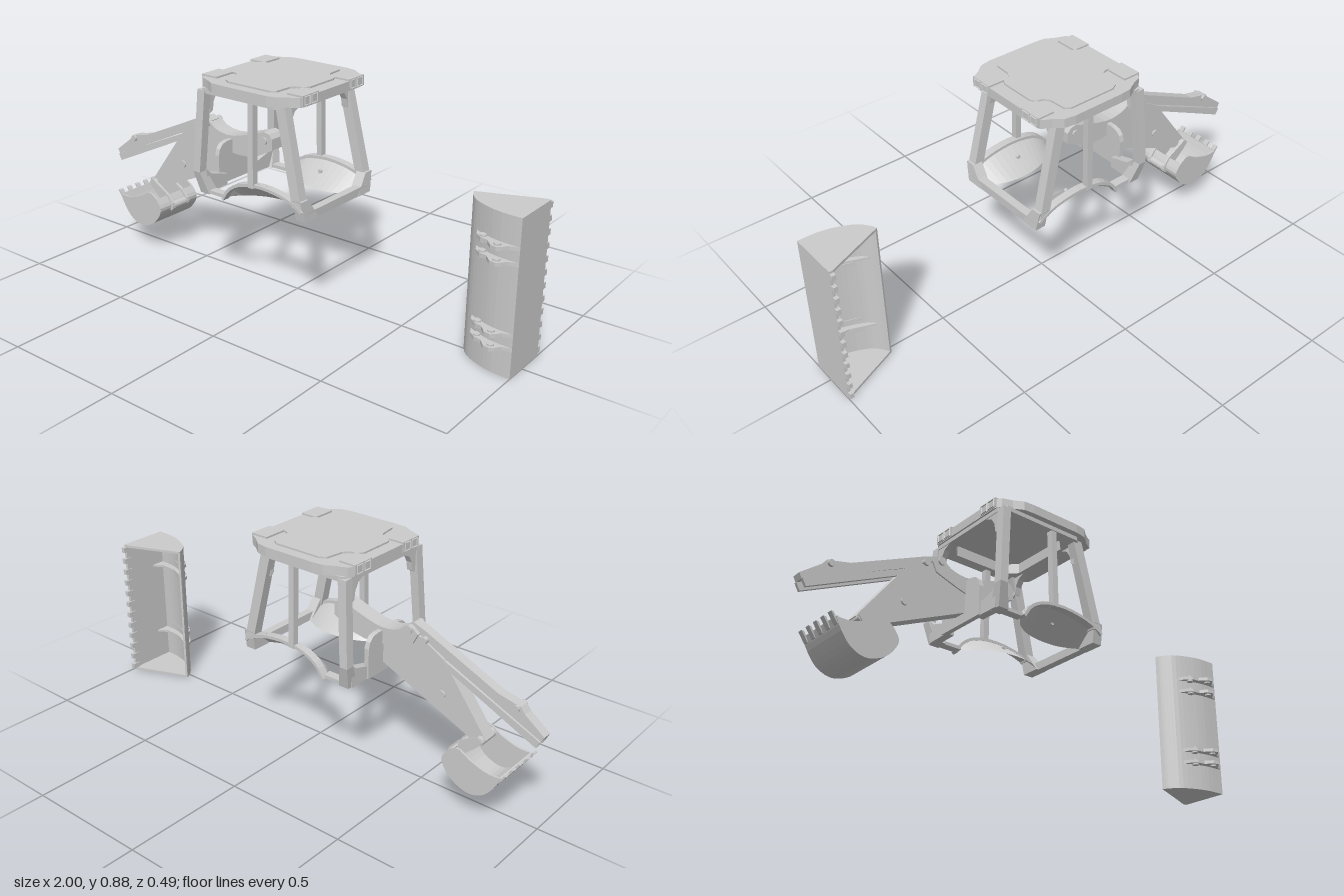
import * as THREE from 'three';

const mat = new THREE.MeshStandardMaterial({ color: 0xcccccc, flatShading: true, side: THREE.DoubleSide });
const V2 = (p) => new THREE.Vector2(p[0], p[1]);
const curve = (pts, n = 16) => new THREE.SplineCurve(pts.map(V2)).getPoints(n).map((p) => [p.x, p.y]);

export function createModel() {
  const model = new THREE.Group();
  let group = model;
  const part = (name) => {
    group = new THREE.Group();
    group.name = name;
    model.add(group);
  };
  const add = (name, geo) => {
    const m = new THREE.Mesh(geo, mat);
    m.name = name;
    group.add(m);
    return m;
  };
  const extrude = (pts, depth, hole) => {
    const s = new THREE.Shape(pts.map(V2));
    if (hole) s.holes.push(new THREE.Path(hole.map(V2)));
    return new THREE.ExtrudeGeometry(s, { depth, bevelEnabled: false });
  };
  // (x, y) outline extruded across z
  const sidePlate = (name, pts, z0, z1) => add(name, extrude(pts, z1 - z0).translate(0, 0, z0));
  // (x, z) outline extruded up y
  const flatPlate = (name, pts, y0, y1, hole) => {
    const flip = (a) => a && a.map(([x, z]) => [x, -z]);
    return add(name, extrude(flip(pts), y1 - y0, flip(hole)).rotateX(-Math.PI / 2).translate(0, y0, 0));
  };
  // (z, y) outline extruded along x
  const crossPlate = (name, pts, x0, x1) =>
    add(name, extrude(pts.map(([z, y]) => [-z, y]), x1 - x0).rotateY(Math.PI / 2).translate(x0, 0, 0));
  const box = (name, x0, x1, y0, y1, z0, z1) =>
    add(name, new THREE.BoxGeometry(x1 - x0, y1 - y0, z1 - z0).translate((x0 + x1) / 2, (y0 + y1) / 2, (z0 + z1) / 2));
  // upright beam, sheared between two end centres
  const post = (name, a, b, wa, wb) => {
    const g = new THREE.BoxGeometry(1, 1, 1);
    const p = g.attributes.position;
    const mix = THREE.MathUtils.lerp;
    for (let i = 0; i < p.count; i++) {
      const t = p.getY(i) + 0.5;
      p.setXYZ(i, mix(a[0], b[0], t) + p.getX(i) * mix(wa[0], wb[0], t), mix(a[1], b[1], t),
        mix(a[2], b[2], t) + p.getZ(i) * mix(wa[1], wb[1], t));
    }
    g.computeVertexNormals();
    return add(name, g);
  };
  // closed band of thickness t along an open line
  const band = (line, t) => {
    const off = line.map((p, i) => {
      const a = line[Math.max(i - 1, 0)], b = line[Math.min(i + 1, line.length - 1)];
      const dx = b[0] - a[0], dy = b[1] - a[1], l = Math.hypot(dx, dy);
      return [p[0] - (dy / l) * t, p[1] + (dx / l) * t];
    });
    return [...line, ...off.reverse()];
  };
  const pinZ = (name, x, y, r, half) =>
    add(name, new THREE.CylinderGeometry(r, r, half * 2, 16).rotateX(Math.PI / 2).translate(x, y, 0));

  // Wide front bucket standing on its end
  part('frontBucket');
  const back = curve([[0.755, -0.025], [0.768, 0], [0.8, 0.037], [0.86, 0.067], [0.92, 0.084], [0.99, 0.088]]);
  flatPlate('bucketBack', band(back, -0.009), 0, 0.6);
  box('bucketFloor', 0.988, 1, 0, 0.6, -0.118, 0.088);
  const cheek = [...back, [1, 0.088], [1, -0.118], [0.985, -0.118]];
  for (const y of [0, 0.59]) flatPlate('bucketCheek', cheek, y, y + 0.01);
  for (const y of [0.14, 0.46])
    flatPlate('innerGusset', [...back.slice(3), [0.99, 0.02], [0.95, 0.05], [0.88, 0.045]], y - 0.004, y + 0.004);
  for (let i = 0; i < 12; i++) {
    const y = 0.02 + i * 0.0509;
    box('bucketTooth', 0.984, 1, y - 0.011, y + 0.011, -0.134, -0.1);
  }
  for (const y of [0.113, 0.166, 0.432, 0.489]) {
    flatPlate('bucketEar', [[0.81, 0.035], [0.83, 0.075], [0.855, 0.094], [0.885, 0.1], [0.91, 0.128], [0.935, 0.134],
      [0.95, 0.12], [0.965, 0.1], [1, 0.088], [0.9, 0.07]], y - 0.007, y + 0.007);
    for (const [x, z] of [[0.856, 0.076], [0.928, 0.11]])
      add('earBoss', new THREE.CylinderGeometry(0.013, 0.013, 0.026, 14).translate(x, y, z));
  }

  // Cab frame, both sides mirrored in z
  part('cabFrame');
  const arch = [[-0.2, 0.41], [-0.165, 0.46], [-0.1, 0.495], [0, 0.507], [0.1, 0.495], [0.17, 0.47], [0.195, 0.45]];
  const foot = [[-0.2, 0.2], [-0.15, 0.14], [-0.08, 0.1], [0, 0.085], [0.08, 0.09], [0.15, 0.12], [0.195, 0.15]];
  const archCurve = new THREE.SplineCurve(arch.map(V2));
  const footCurve = new THREE.SplineCurve(foot.map(V2));
  for (const s of [1, -1]) {
    post('frontPost', [0.17, 0.46, s * 0.2], [0.085, 0.83, s * 0.19], [0.042, 0.04], [0.044, 0.036]);
    post('middlePost', [-0.047, 0.49, s * 0.212], [-0.047, 0.83, s * 0.205], [0.025, 0.026], [0.025, 0.026]);
    post('rearPost', [-0.308, 0.5, s * 0.222], [-0.285, 0.83, s * 0.207], [0.034, 0.036], [0.036, 0.036]);
    post('rearFoot', [-0.29, 0.408, s * 0.19], [-0.308, 0.5, s * 0.222], [0.044, 0.05], [0.034, 0.036]);
    post('frontFoot', [0.178, 0.408, s * 0.165], [0.173, 0.49, s * 0.2], [0.044, 0.08], [0.042, 0.04]);
    box('sill', -0.3, -0.19, 0.408, 0.422, s * 0.19 - 0.018, s * 0.19 + 0.018);
    sidePlate('archRail', band(curve(arch), -0.012), s * 0.205 - 0.016, s * 0.205 + 0.016);
    // wheel housing leaning inward to the floor
    const g = new THREE.PlaneGeometry(1, 1, 20, 5);
    const p = g.attributes.position;
    for (let i = 0; i < p.count; i++) {
      const u = p.getX(i) + 0.5, t = p.getY(i) + 0.5;
      const a = archCurve.getPoint(u), f = footCurve.getPoint(u);
      p.setXYZ(i, f.x + (a.x - f.x) * t, 0.41 + (a.y - 0.41) * t, s * (f.y + (0.205 - f.y) * t));
    }
    g.computeVertexNormals();
    add('wheelHousing', g);
    add('housingBolt', new THREE.CylinderGeometry(0.008, 0.008, 0.012, 12).rotateX(Math.PI / 2).translate(0, 0.462, s * 0.145));
    // rounded upper corners of the front and rear openings
    const corner = [[0.19, 0.73], [0.173, 0.74], [0.167, 0.775], [0.15, 0.803], [0.115, 0.82], [0.19, 0.825]].map(([z, y]) => [s * z, y]);
    crossPlate('frontCorner', corner, 0.08, 0.108);
    crossPlate('rearCorner', corner, -0.3, -0.275);
    // rear lower frame sweeping from the post to the back panel
    crossPlate('rearSweep', [[0.21, 0.51], [0.18, 0.48], [0.09, 0.455], [0.09, 0.41], [0.2, 0.408]].map(([z, y]) => [s * z, y]), -0.318, -0.285);
  }
  box('frontSill', 0.165, 0.198, 0.408, 0.442, -0.19, 0.19);
  crossPlate('backPanel', [[-0.115, 0.41], [0.115, 0.41], [0.115, 0.53], [0.108, 0.556], [0.09, 0.574], [0.065, 0.58],
    [-0.065, 0.58], [-0.09, 0.574], [-0.108, 0.556], [-0.115, 0.53]], -0.325, -0.305);

  // Roof
  part('roof');
  const mirrorZ = (half) => [...half, ...half.map(([x, z]) => [x, -z]).reverse()];
  const rim = mirrorZ([[-0.31, 0.18], [-0.295, 0.205], [-0.255, 0.22], [-0.215, 0.242], [-0.17, 0.246], [0.05, 0.246],
    [0.095, 0.238], [0.13, 0.21], [0.165, 0.19], [0.17, 0.16]]);
  const opening = mirrorZ([[-0.26, 0.13], [-0.22, 0.175], [0.02, 0.175], [0.065, 0.13]]);
  flatPlate('roofRim', rim, 0.835, 0.868, opening);
  flatPlate('roofSkin', rim, 0.862, 0.872);
  flatPlate('roofFrame', mirrorZ([[-0.303, 0.19], [-0.28, 0.222], [0.07, 0.222], [0.108, 0.19]]), 0.818, 0.838, opening);
  const panel = mirrorZ([[-0.262, 0.07], [-0.25, 0.09], [-0.215, 0.1], [-0.2, 0.12], [-0.19, 0.19], [-0.165, 0.205],
    [0.035, 0.205], [0.056, 0.19], [0.06, 0.12], [0.075, 0.1], [0.105, 0.09], [0.115, 0.07]]);
  flatPlate('raisedPanel', panel, 0.87, 0.879);
  for (const s of [1, -1]) {
    for (const [x0, x1, face] of [[0.1, 0.172, 0.172], [-0.313, -0.24, -0.313]]) {
      box('lampHousing', x0, x1, 0.838, 0.879, s * 0.139 - 0.047, s * 0.139 + 0.047);
      for (const z of [0.118, 0.16]) {
        const frame = add('lampFrame', new THREE.TorusGeometry(0.022, 0.003, 4, 4)
          .rotateZ(Math.PI / 4).rotateY(Math.PI / 2));
        frame.position.set(face, 0.858, s * z);
      }
    }
  }

  // Digger arm
  part('diggerArm');
  const boom = [...curve([[-0.48, 0.61], [-0.44, 0.635], [-0.39, 0.603], [-0.31, 0.593], [-0.2, 0.622], [-0.14, 0.643]]),
    [-0.115, 0.638], [-0.1, 0.62], [-0.1, 0.575], ...curve([[-0.18, 0.533], [-0.26, 0.52], [-0.34, 0.53], [-0.46, 0.57]], 8)];
  sidePlate('boom', boom, -0.036, 0.034);
  sidePlate('dipper', [[-0.782, 0.29], [-0.765, 0.27], [-0.715, 0.277], [-0.31, 0.455], [-0.31, 0.535], [-0.4, 0.56],
    [-0.47, 0.61], [-0.5, 0.595], [-0.59, 0.545]], -0.028, 0.028);
  sidePlate('topBeam', [[-1, 0.385], [-0.99, 0.365], [-0.46, 0.604], [-0.43, 0.61], [-0.425, 0.63], [-0.45, 0.645],
    [-0.5, 0.627], [-0.81, 0.488], [-0.88, 0.472], [-0.902, 0.468], [-0.92, 0.445]], -0.02, 0.02);
  for (const z of [-0.021, 0.021])
    sidePlate('beamRail', [[-0.99, 0.365], [-0.975, 0.338], [-0.5, 0.558], [-0.49, 0.585]], z - 0.006, z + 0.006);
  for (const [x, y, r, h] of [[-0.59, 0.408, 0.015, 0.035], [-0.887, 0.458, 0.013, 0.03], [-0.762, 0.285, 0.018, 0.045],
    [-0.66, 0.205, 0.018, 0.05], [-0.138, 0.607, 0.015, 0.042], [-0.44, 0.62, 0.016, 0.042], [-0.505, 0.595, 0.013, 0.038]])
    pinZ('pivotPin', x, y, r, h);

  // Digging bucket
  part('diggingBucket');
  const belly = curve([[-0.9, 0.222], [-0.875, 0.175], [-0.835, 0.128], [-0.775, 0.108], [-0.71, 0.13], [-0.67, 0.17],
    [-0.655, 0.21], [-0.68, 0.25]], 22);
  sidePlate('bucketShell', band(belly, 0.008), -0.11, 0.11);
  const lip = curve([[-0.68, 0.25], [-0.72, 0.272], [-0.77, 0.245], [-0.84, 0.222], [-0.9, 0.222]], 10);
  for (const z of [-0.11, 0.102]) sidePlate('bucketSide', [...belly, ...lip.slice(1, -1)], z, z + 0.008);
  for (let i = -2; i <= 2; i++)
    sidePlate('diggingTooth', [[-0.918, 0.237], [-0.908, 0.236], [-0.882, 0.195], [-0.893, 0.2]], i * 0.048 - 0.011, i * 0.048 + 0.011);
  for (const z of [-0.042, 0.042])
    sidePlate('bucketLug', [[-0.78, 0.29], [-0.76, 0.305], [-0.735, 0.29], [-0.675, 0.255], [-0.645, 0.22], [-0.642, 0.198],
      [-0.655, 0.185], [-0.69, 0.2], [-0.76, 0.262]], z - 0.006, z + 0.006);
  return model;
}
